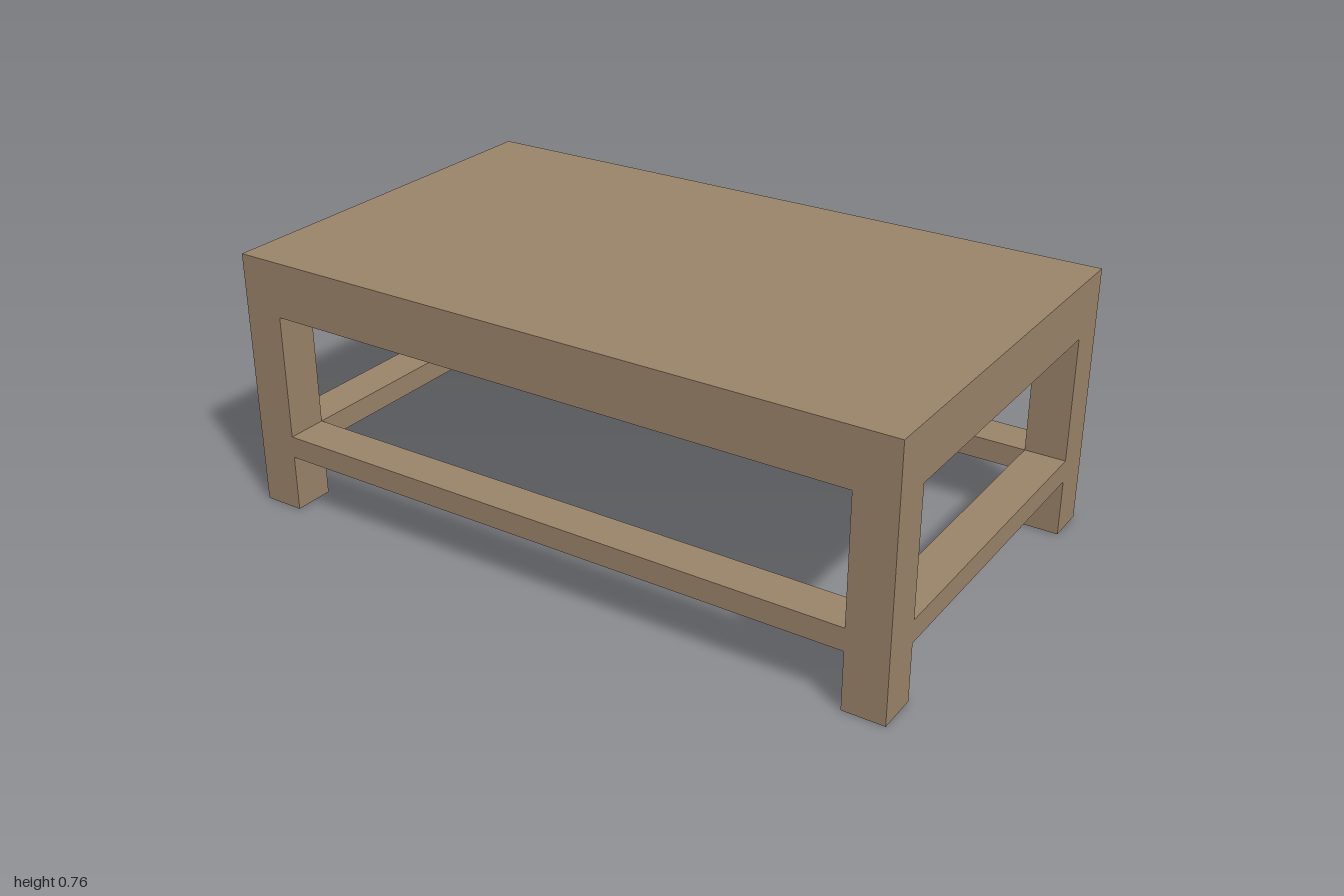
import * as THREE from 'three';

export function createModel() {
  const model = new THREE.Group();
  model.name = 'coffeeTable';
  const wood = new THREE.MeshStandardMaterial({ color: 0x9a836a });

  const halfX = 1, halfZ = 0.59, height = 0.762;
  const leg = 0.12, topBottom = 0.6;
  const railBottom = 0.168, railTop = 0.233;

  // Box given by its size, its centre in plan and its bottom and top heights
  function block(name, width, depth, x, z, bottom, top) {
    const mesh = new THREE.Mesh(new THREE.BoxGeometry(width, top - bottom, depth), wood);
    mesh.name = name;
    mesh.position.set(x, (bottom + top) / 2, z);
    model.add(mesh);
  }

  // Thick solid top
  block('tableTop', 2 * halfX, 2 * halfZ, 0, 0, topBottom, height);

  const legX = halfX - leg / 2, legZ = halfZ - leg / 2;

  // Square legs, flush with the corners
  for (const [sx, side] of [[1, 'Left'], [-1, 'Right']]) {
    for (const [sz, end] of [[1, 'front'], [-1, 'back']]) {
      block(`${end}${side}Leg`, leg, leg, sx * legX, sz * legZ, 0, topBottom);
    }
  }

  // Low stretchers as deep as the legs, running between them
  for (const [s, end, side] of [[1, 'front', 'left'], [-1, 'back', 'right']]) {
    block(`${end}Stretcher`, 2 * (halfX - leg), leg, 0, s * legZ, railBottom, railTop);
    block(`${side}Stretcher`, leg, 2 * (halfZ - leg), s * legX, 0, railBottom, railTop);
  }

  return model;
}
